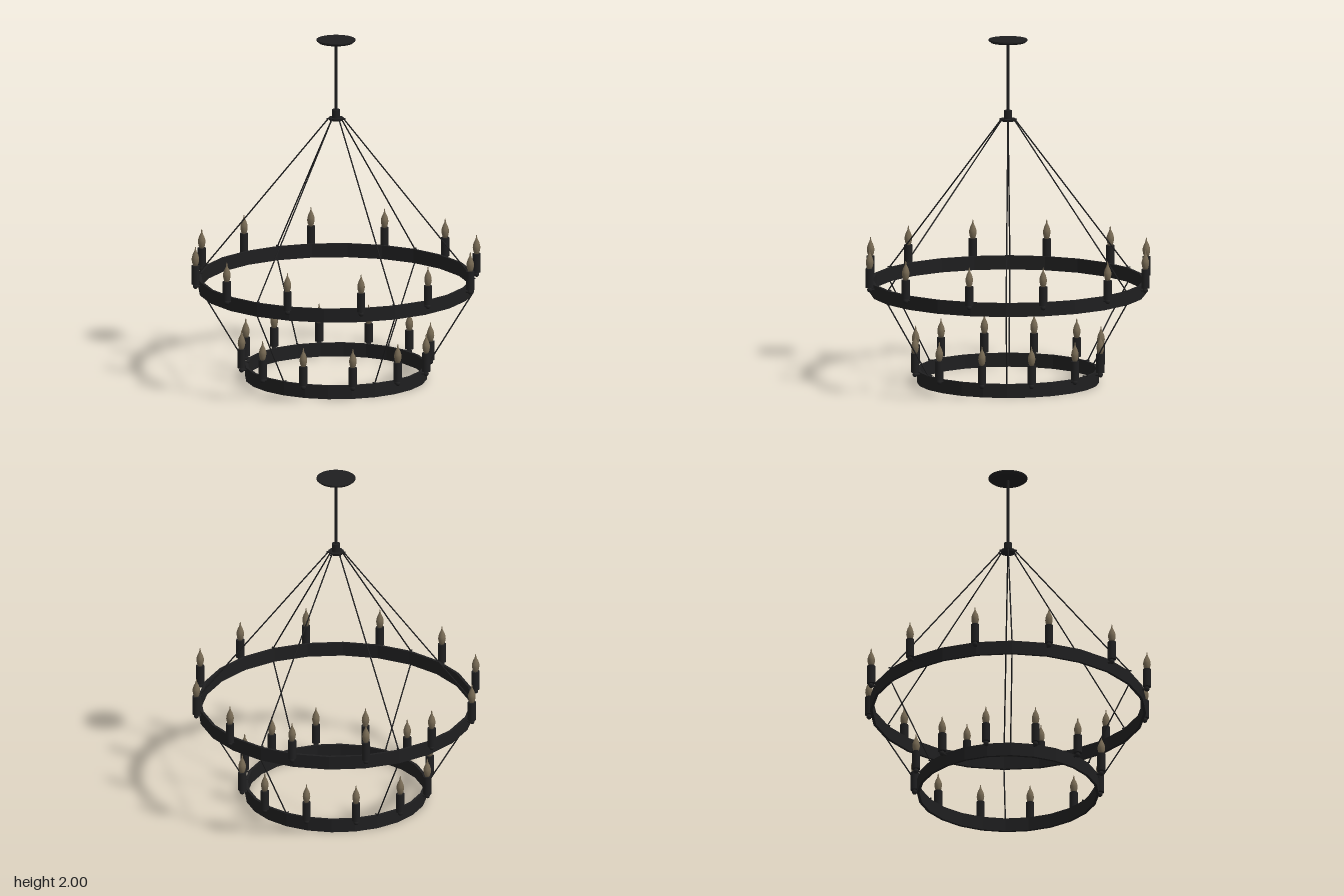
import * as THREE from 'three';
import { toCreasedNormals } from 'three/addons/utils/BufferGeometryUtils.js';

const iron = new THREE.MeshStandardMaterial({ color: 0x1f1f20 });
iron.name = 'black iron';
const glass = new THREE.MeshStandardMaterial({ color: 0x776a54 });
glass.name = 'smoky bulb glass';

const lathe = (pts, segments) =>
  new THREE.LatheGeometry(pts.map(([r, y]) => new THREE.Vector2(r, y)), segments);

function add(parent, name, geometry, material, x = 0, y = 0, z = 0) {
  const mesh = new THREE.Mesh(geometry, material);
  mesh.name = name;
  mesh.position.set(x, y, z);
  parent.add(mesh);
  return mesh;
}

// Thin straight bar between two points
function bar(parent, name, a, b, radius) {
  const dir = b.clone().sub(a);
  const mesh = add(parent, name, new THREE.CylinderGeometry(radius, radius, dir.length(), 8), iron);
  mesh.position.copy(a).add(b).multiplyScalar(0.5);
  mesh.quaternion.setFromUnitVectors(new THREE.Vector3(0, 1, 0), dir.normalize());
  return mesh;
}

// Faceted hoop with a rectangular section
function hoop(radius, y0, y1) {
  const inner = radius - 0.016;
  const g = lathe([[radius, y0], [radius, y1], [inner, y1], [inner, y0], [radius, y0]], 24);
  return toCreasedNormals(g, 0.1);
}

const holderGeo = new THREE.CylinderGeometry(0.024, 0.024, 0.11, 16);
const knobGeo = new THREE.SphereGeometry(0.015, 12, 8);
const armGeo = new THREE.CylinderGeometry(0.007, 0.007, 0.035, 8).rotateZ(Math.PI / 2);
const bulbGeo = lathe([
  [0, 0], [0.012, 0], [0.018, 0.015], [0.022, 0.035], [0.021, 0.05],
  [0.015, 0.07], [0.008, 0.084], [0.004, 0.095], [0.003, 0.108], [0, 0.114],
], 14);

// Candle light, standing just outside its hoop; y is the foot of the holder
function candle(radius, y, angle) {
  const g = new THREE.Group();
  g.name = 'candleLight';
  add(g, 'holder', holderGeo, iron, radius, y + 0.055, 0);
  add(g, 'knob', knobGeo, iron, radius, y - 0.013, 0);
  add(g, 'arm', armGeo, iron, radius - 0.018, y - 0.013, 0);
  add(g, 'bulb', bulbGeo, glass, radius, y + 0.108, 0);
  g.rotation.y = angle;
  return g;
}

export function createModel() {
  const model = new THREE.Group();
  model.name = 'chandelier';

  // Ceiling plate, stem and hub
  add(model, 'ceilingPlate', toCreasedNormals(
    lathe([[0, 1.983], [0.1, 1.983], [0.112, 1.993], [0.112, 2], [0, 2]], 32), 0.6), iron);
  add(model, 'stem', new THREE.CylinderGeometry(0.008, 0.008, 0.41, 12), iron, 0, 1.78, 0);
  add(model, 'hub', new THREE.CylinderGeometry(0.024, 0.024, 0.055, 16), iron, 0, 1.558, 0);
  add(model, 'hubFlange', new THREE.CylinderGeometry(0.045, 0.04, 0.014, 24), iron, 0, 1.531, 0);

  // Two tiers, each a hoop with twelve candle lights
  const tiers = [
    { name: 'upper', radius: 0.794, y0: 0.52, y1: 0.6, candleRadius: 0.82, foot: 0.588 },
    { name: 'lower', radius: 0.524, y0: 0, y1: 0.08, candleRadius: 0.551, foot: 0.082 },
  ];
  for (const t of tiers) {
    const tier = new THREE.Group();
    tier.name = t.name + 'Tier';
    add(tier, 'hoop', hoop(t.radius, t.y0, t.y1), iron);
    for (let i = 0; i < 12; i++) tier.add(candle(t.candleRadius, t.foot, i * Math.PI / 6));
    model.add(tier);
  }

  // Six hanging rods from hub to upper hoop, continued to the lower hoop
  for (let i = 0; i < 6; i++) {
    const a = Math.PI / 12 + i * Math.PI / 3;
    const at = (r, y) => new THREE.Vector3(r * Math.cos(a), y, r * Math.sin(a));
    bar(model, 'upperRod', at(0.045, 1.53), at(0.79, 0.602), 0.004);
    bar(model, 'lowerRod', at(0.79, 0.52), at(0.525, 0.082), 0.004);
    // Small hooks over the hoop edges and at the hub
    bar(model, 'hubHook', at(0.03, 1.53), at(0.055, 1.53), 0.005);
    bar(model, 'upperHook', at(0.77, 0.602), at(0.804, 0.602), 0.004);
    bar(model, 'lowerHook', at(0.5, 0.082), at(0.534, 0.082), 0.004);
  }
  return model;
}
